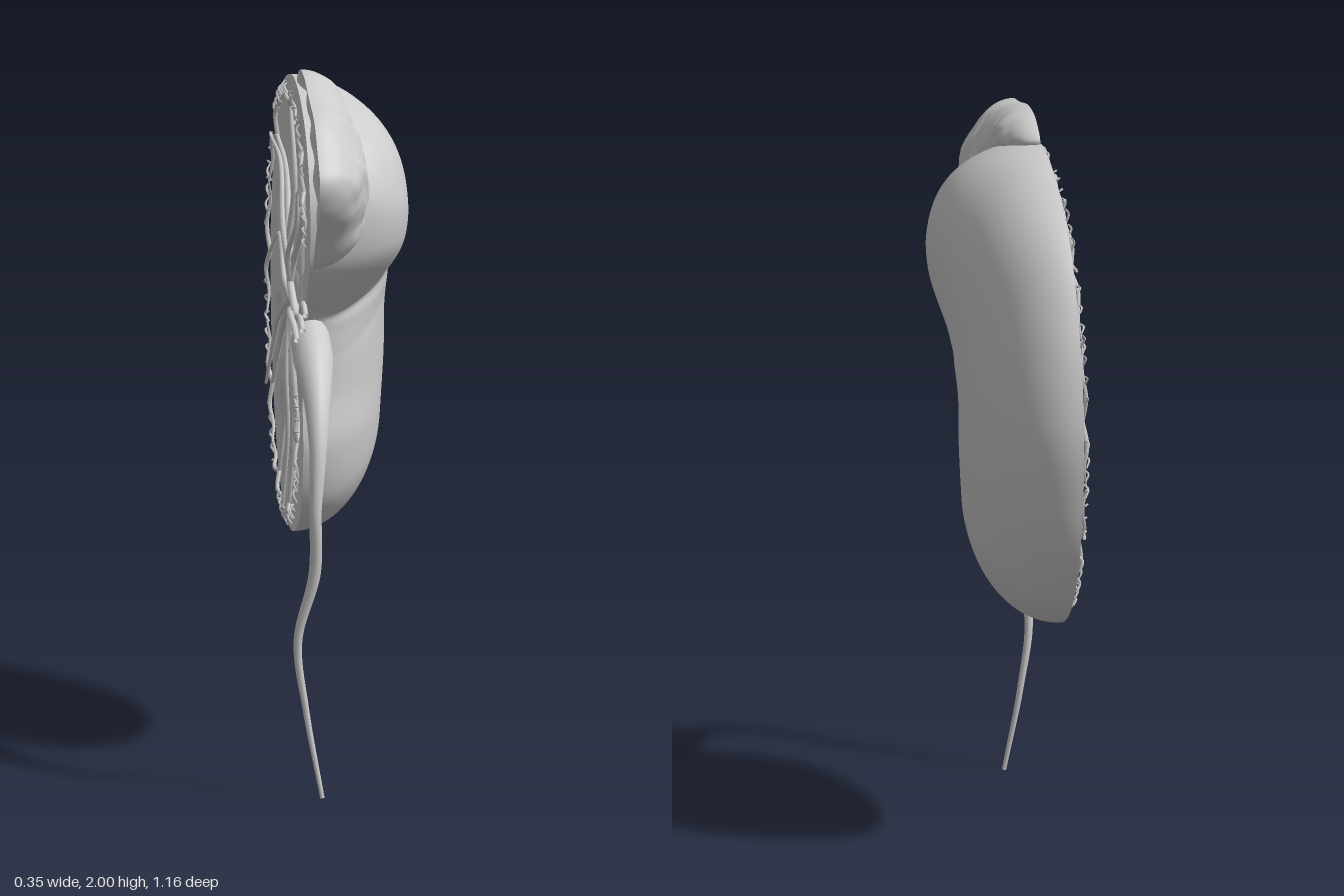
import * as THREE from 'three';

const CUT = -0.12; // plane of the cut face
const V = (x, y, z) => new THREE.Vector3(x, y, z);
const grey = () => new THREE.MeshStandardMaterial({ color: 0xcccccc, side: THREE.DoubleSide });
const bell = (d, w) => Math.exp(-(d * d) / (w * w));
const step = THREE.MathUtils.smoothstep;

// Outlines: [z, y, u], where u is the matching place on the spine. Spines: [z, y, height].
const closed = pts => new THREE.CatmullRomCurve3(pts.map(p => V(...p)), true);
const open = pts => new THREE.CatmullRomCurve3(pts.map(p => V(...p)));

const kidney = {
  rim: closed([
    [0.03, 1.94, 0], [-0.18, 1.90, 0.03], [-0.375, 1.78, 0.15], [-0.51, 1.565, 0.32], [-0.575, 1.315, 0.5],
    [-0.56, 1.10, 0.72], [-0.50, 0.90, 0.9], [-0.39, 0.73, 1], [-0.26, 0.65, 1], [-0.105, 0.625, 1],
    [0.04, 0.665, 1], [0.16, 0.76, 1], [0.21, 0.92, 0.95], [0.19, 1.08, 0.78], [0.19, 1.21, 0.6],
    [0.21, 1.31, 0.42], [0.295, 1.405, 0.22], [0.37, 1.53, 0.05], [0.37, 1.70, 0], [0.255, 1.865, 0],
  ]),
  spine: open([[0.1, 1.57, 0.298], [-0.05, 1.43, 0.276], [-0.17, 1.28, 0.266], [-0.17, 1.13, 0.263], [-0.14, 1.0, 0.25]]),
};
const gland = {
  rim: closed([
    [0.19, 2.0, 0], [0.10, 1.995, 0], [0.03, 1.95, 0], [0.11, 1.88, 0.1], [0.22, 1.78, 0.4], [0.28, 1.68, 0.7],
    [0.31, 1.58, 1], [0.38, 1.505, 1], [0.48, 1.62, 0.9], [0.56, 1.72, 0.65], [0.575, 1.81, 0.5],
    [0.51, 1.88, 0.4], [0.43, 1.945, 0.2], [0.32, 1.97, 0.1],
  ]),
  spine: open([[0.19, 1.92, 0.105], [0.35, 1.77, 0.157], [0.39, 1.63, 0.14]]),
};

// Point a fraction f of the way from the rim to the spine
function at(body, t, f) {
  const p = body.rim.getPoint(((t % 1) + 1) % 1);
  const s = body.spine.getPoint(THREE.MathUtils.clamp(p.z, 0, 1));
  return { z: p.x + (s.x - p.x) * f, y: p.y + (s.y - p.y) * f, h: s.z };
}

// Sheet of rings running from the rim to the spine; depth(f, point) gives x
function sheet(body, around, rings, outward, ease, depth) {
  const pos = [], idx = [];
  for (let i = 0; i <= rings; i++) {
    const f = ease(i / rings);
    for (let j = 0; j < around; j++) {
      const p = at(body, j / around, f);
      pos.push(depth(f, p), p.y, p.z);
      if (i === rings) continue;
      const a = i * around + j, b = i * around + (j + 1) % around, c = a + around, d = b + around;
      if (outward) idx.push(a, c, b, b, c, d);
      else idx.push(a, b, c, b, d, c);
    }
  }
  const g = new THREE.BufferGeometry();
  g.setAttribute('position', new THREE.Float32BufferAttribute(pos, 3));
  g.setIndex(idx);
  g.computeVertexNormals();
  return g;
}
const round = s => 1 - Math.cos(s * Math.PI / 2);
const dome = (f, p) => Math.sqrt(Math.max(0, 1 - Math.pow(1 - f, p)));

// Tube whose radius follows a list, one value per path point
function taperTube(points, radii, sides = 6, steps = 6) {
  const curve = new THREE.CatmullRomCurve3(points);
  const g = new THREE.TubeGeometry(curve, (points.length - 1) * steps, 1, sides);
  const { position: P, normal: N, uv } = g.attributes;
  for (let i = 0; i < P.count; i++) {
    const k = curve.getUtoTmapping(uv.getX(i)) * (radii.length - 1);
    const n = Math.min(Math.floor(k), radii.length - 2);
    const r = THREE.MathUtils.lerp(radii[n], radii[n + 1], k - n) - 1;
    P.setXYZ(i, P.getX(i) + N.getX(i) * r, P.getY(i) + N.getY(i) * r, P.getZ(i) + N.getZ(i) * r);
  }
  return g;
}

// Pyramids lie between the vessel branches, pointing at the spine
const pyramids = [1.2, 3.1, 4.95, 6.75, 8.6, 10.8, 19.4].map(i => {
  const c = at(kidney, i / 20, 0.52), e = at(kidney, i / 20, 0.1);
  const l = Math.hypot(c.z - e.z, c.y - e.y);
  return { z: c.z, y: c.y, dz: (c.z - e.z) / l, dy: (c.y - e.y) / l };
});
const sinus = [[0.1, 1.5], [0.08, 1.3], [0.08, 1.1]];

function cutRelief(f, p) {
  let d = 0;
  for (const q of pyramids) {
    const z = p.z - q.z, y = p.y - q.y;
    const r = Math.hypot((z * q.dz + y * q.dy) / 0.13, (z * q.dy - y * q.dz) / 0.09);
    d = Math.max(d, 0.014 * (1 - step(r, 0.8, 1)));
  }
  for (const [z, y] of sinus) d = Math.max(d, 0.05 * bell(Math.hypot(p.z - z, p.y - y), 0.07));
  return CUT + d * Math.min(1, f * 6);
}

export function createModel() {
  const model = new THREE.Group();
  const add = (name, geometry, parent = model) => {
    const m = new THREE.Mesh(geometry, grey());
    m.name = name;
    parent.add(m);
  };

  // Kidney half: outer dome, fuller at the upper front, with the crease at the hilum
  add('kidneyOuter', sheet(kidney, 260, 32, true, round, (f, p) => {
    const inward = step(p.z, -0.12, 0.2);
    const line = p.y - 1.3 - (0.2 - p.z) * 0.3;
    const crease = inward * (0.03 * bell(line, 0.02) + 0.03 * bell(line, 0.09));
    const wrinkle = 0.006 * inward * bell(p.y - 1.2 + (0.15 - p.z) * -0.5, 0.02);
    const full = 2 + 1.3 * step(p.z, -0.1, 0.25) * step(p.y, 1.35, 1.55) - 0.12 * step(-p.z, 0.2, 0.45);
    return CUT + (p.h - crease - wrinkle) * dome(f, full);
  }));
  add('kidneyCutFace', sheet(kidney, 260, 44, false, s => s, cutRelief));

  // Adrenal gland, lumpy, leaning on the upper pole
  add('adrenalOuter', sheet(gland, 160, 32, true, round, (f, p) => {
    const lumps = Math.sin(p.z * 41 + p.y * 17) * Math.sin(p.y * 37 - p.z * 13)
      + 0.5 * Math.sin(p.z * 71) * Math.sin(p.y * 63) + 0.3 * Math.sin(p.z * 150 + p.y * 40) * Math.sin(p.y * 130);
    return CUT + 0.004 + (p.h + 0.005 * lumps) * dome(f, 1.85);
  }));
  add('adrenalCutFace', sheet(gland, 160, 16, false, s => s, (f, p) =>
    CUT + 0.004 + 0.014 * Math.min(1, f * 3) * (1 + 0.5 * Math.sin(p.z * 40) * Math.sin(p.y * 35))));

  // Renal pelvis narrowing into the ureter
  add('ureter', taperTube(
    [V(-0.095, 1.28, 0.14), V(-0.1, 1.255, 0.21), V(-0.1, 1.21, 0.285), V(-0.1, 1.115, 0.375), V(-0.105, 1.0, 0.435),
      V(-0.115, 0.84, 0.462), V(-0.115, 0.65, 0.44), V(-0.158, 0.45, 0.412), V(-0.135, 0.25, 0.405), V(-0.092, 0.003, 0.425)],
    [0.035, 0.055, 0.056, 0.036, 0.024, 0.017, 0.017, 0.012, 0.009, 0.006], 14, 10));

  // Calyces: cups running from the pelvis into the sinus
  const calyces = new THREE.Group();
  calyces.name = 'calyces';
  model.add(calyces);
  for (const [z, y] of [[0.08, 1.57], [-0.06, 1.43], [-0.08, 1.2], [0.04, 1.0]]) {
    add('calyx', taperTube([V(-0.09, 1.28, 0.16), V(-0.1, (1.28 + y) / 2, 0.08 + z * 0.2), V(-0.1, y, z)],
      [0.035, 0.018, 0.03], 10), calyces);
    const cup = new THREE.SphereGeometry(0.03, 12, 8);
    cup.translate(-0.1, y, z);
    add('calyxCup', cup, calyces);
  }

  // Vessels: trunks at the hilum, branches between pyramids, arcs and twigs near the rim
  const vessels = new THREE.Group();
  vessels.name = 'bloodVessels';
  model.add(vessels);
  [[0.37, 1.325, -0.14, 1.38], [0.36, 1.295, -0.155, 1.3], [0.31, 1.35, -0.125, 1.34]].forEach(([z, y, x, root]) =>
    add('trunk', taperTube([V(x, y, z), V(x, y + 0.018, z - 0.06), V(x, 1.325, 0.21), V(-0.14, root, 0.07)],
      [0.008, 0.009, 0.011, 0.01], 8), vessels));

  // Each branch: place on the rim, height of its root, then two points on the way
  const branches = [
    [0.3, 1.38, [0.03, 1.5], [0.06, 1.66]], [2.2, 1.38, [-0.01, 1.5], [-0.14, 1.64]],
    [4, 1.34, [-0.1, 1.34], [-0.3, 1.41]], [5.9, 1.34, [-0.08, 1.23], [-0.27, 1.13]],
    [7.6, 1.3, [-0.01, 1.14], [-0.15, 0.98]], [9.6, 1.3, [0.06, 1.13], [0.02, 0.92]],
    [12, 1.3, [0.1, 1.13], [0.12, 0.96]], [18.2, 1.38, [0.11, 1.45], [0.23, 1.58]],
  ];
  branches.forEach(([i, root, a, b], n) => {
    // Artery, every other one with a thinner vein beside it
    const lanes = [[0, -0.13, 0.01], [0.024, -0.148, 0.008]].slice(0, 1 + n % 2);
    for (const [off, x, r] of lanes) {
      const end = at(kidney, i / 20, 0.2);
      add('branch', taperTube([V(-0.14, root, 0.07), V(x - 0.006, a[1] + off, a[0] + off),
        V(x + 0.004, b[1] + off, b[0] + off), V(x, end.y, end.z)], [r, r, r * 0.8, r * 0.55], 6), vessels);
    }
    // Arcs following the rim to both sides
    for (const side of [-1, 1]) {
      const arc = [0, 0.3, 0.6, 0.9].map((k, m) => {
        const p = at(kidney, (i + side * k) / 20, [0.2, 0.13, 0.12, 0.15][m]);
        return V(-0.13 - 0.008 * (m % 2), p.y, p.z);
      });
      add('arc', taperTube(arc, [0.007, 0.006, 0.005, 0.003], 5), vessels);
      for (let k = 1; k <= 4; k++) {
        const t = (i + side * k * 0.22) / 20;
        const p = at(kidney, t, 0.13), q = at(kidney, t + side * 0.006, 0.04 + 0.02 * ((k + n) % 2));
        add('twig', taperTube([V(-0.132, p.y, p.z), V(-0.14, (p.y + q.y) / 2 + 0.006, (p.z + q.z) / 2), V(-0.13, q.y, q.z)],
          [0.004, 0.0035, 0.002], 4, 3), vessels);
      }
    }
  });
  return model;
}
